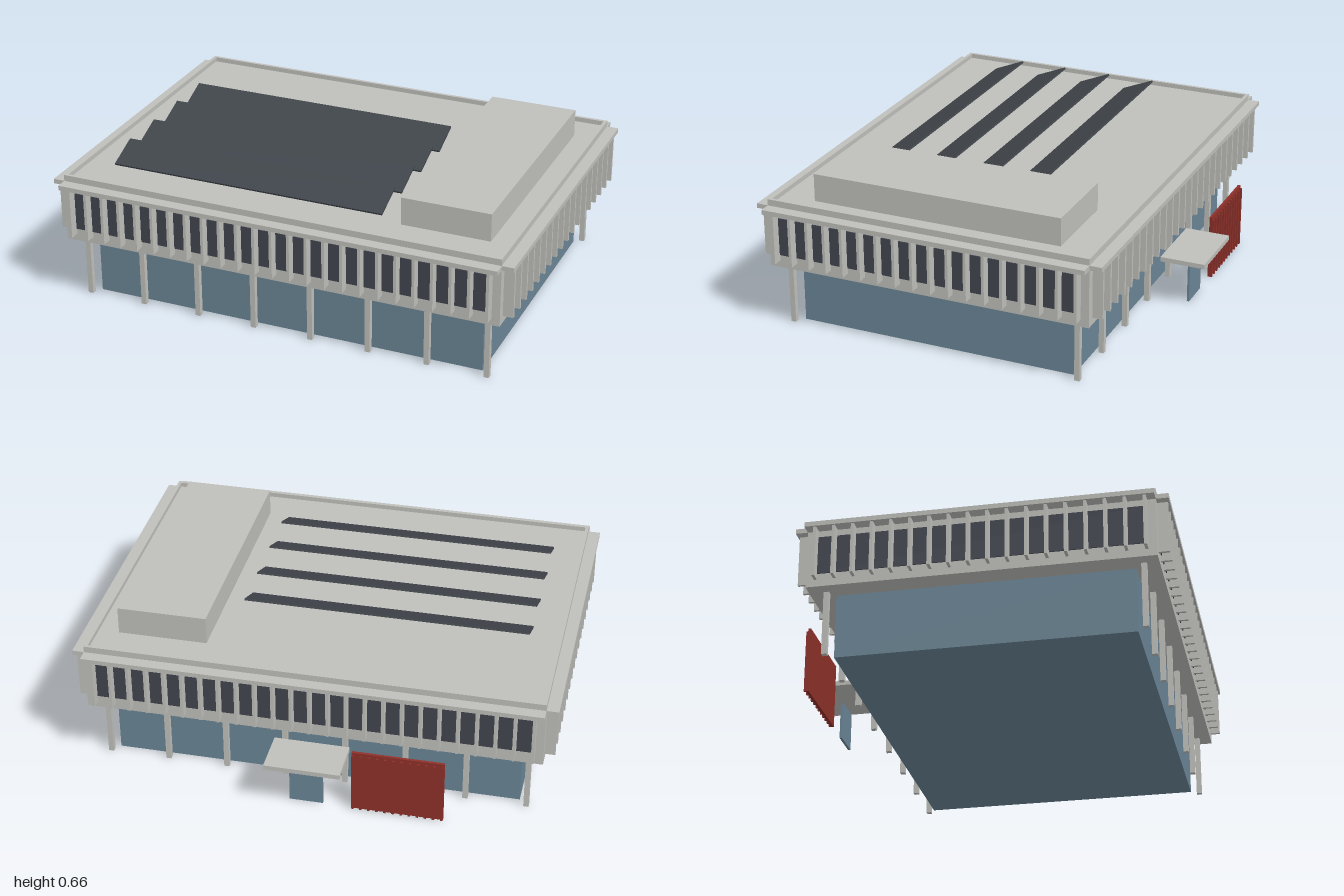
import * as THREE from 'three';

const paint = (name, color) => {
  const m = new THREE.MeshStandardMaterial({ color });
  m.name = name;
  return m;
};

export function createModel() {
  const concrete = paint('concrete', 0xbfbfbb);
  const glass = paint('blue glass', 0x6b8596);
  const windowDark = paint('dark window', 0x41454e);
  const skylightDark = paint('skylight', 0x40454b);
  const red = paint('red screen', 0x8e3029);

  const model = new THREE.Group();
  model.name = 'pavilionBuilding';

  // box given by its limits on each axis
  const box = (name, mat, [x0, x1], [y0, y1], [z0, z1], parent = model) => {
    const mesh = new THREE.Mesh(new THREE.BoxGeometry(x1 - x0, y1 - y0, z1 - z0), mat);
    mesh.position.set((x0 + x1) / 2, (y0 + y1) / 2, (z0 + z1) / 2);
    mesh.name = name;
    parent.add(mesh);
    return mesh;
  };
  const group = (name) => {
    const g = new THREE.Group();
    g.name = name;
    model.add(g);
    return g;
  };

  // main volumes
  const X = 0.95, Z0 = -0.63, Z1 = 0.765, ROOF = 0.542;
  box('groundFloorGlass', glass, [-0.855, 0.855], [0, 0.272], [-0.53, 0.67]);
  box('upperFloor', concrete, [-X, X], [0.27, ROOF], [Z0, Z1]);
  box('roofPlantRoom', concrete, [0.475, 0.85], [ROOF, 0.66], [-0.47, 0.605]);

  // low parapet around the roof
  const parapet = group('parapet'), t = 0.014;
  for (const [a, b] of [[Z0, Z0 + t], [Z1 - t, Z1]]) box('parapetLong', concrete, [-X, X], [ROOF, 0.562], [a, b], parapet);
  for (const [a, b] of [[-X, -X + t], [X - t, X]]) box('parapetShort', concrete, [a, b], [ROOF, 0.562], [Z0 + t, Z1 - t], parapet);

  // columns along the front and back
  const columns = group('columns');
  for (const z of [-0.56, 0.705]) {
    for (let i = 0; i < 8; i++) {
      const x = -0.886 + i * 0.2531;
      box('column', concrete, [x - 0.011, x + 0.011], [0, 0.27], [z - 0.011, z + 0.011], columns);
    }
  }

  // one facade: window strip, fins and cornice, built facing +z then turned
  const facade = (name, half, bays, span, angle, x, z) => {
    const g = group(name);
    box('windowStrip', windowDark, [-span / 2, span / 2], [0.325, 0.487], [-0.004, 0.004], g);
    for (let i = 0; i <= bays; i++) {
      const u = -span / 2 + (span * i) / bays;
      box('fin', concrete, [u - 0.006, u + 0.006], [0.3, 0.517], [-0.001, 0.043], g);
    }
    box('cornice', concrete, [-half, half], [0.515, 0.535], [-0.001, 0.05], g);
    g.rotation.y = angle;
    g.position.set(x, 0, z);
  };
  const mid = (Z0 + Z1) / 2, halfZ = (Z1 - Z0) / 2;
  facade('frontFacade', X, 24, 1.82, 0, 0, Z1);
  facade('backFacade', X, 24, 1.82, Math.PI, 0, Z0);
  facade('leftFacade', halfZ, 17, 1.315, Math.PI / 2, X, mid);
  facade('rightFacade', halfZ, 17, 1.315, -Math.PI / 2, -X, mid);

  // tilted roof panels, low at the front and high at the back
  const skylights = group('skylights');
  for (const z of [-0.143, 0.07, 0.287, 0.5]) {
    const panel = box('skylight', skylightDark, [-0.82, 0.38], [-0.004, 0.004], [-0.075, 0.075], skylights);
    panel.position.set(-0.22, 0.578, z);
    panel.rotation.x = 0.39;
  }

  // back entrance
  box('entranceCanopy', concrete, [-0.16, 0.155], [0.205, 0.225], [-0.818, -0.625]);
  box('entranceDoor', glass, [-0.07, 0.07], [0, 0.165], [-0.727, -0.717]);

  // ribbed red screen beside the entrance
  const screen = group('ribbedScreen');
  box('screenPanel', red, [-0.57, -0.19], [0, 0.28], [-0.73, -0.718], screen);
  for (let i = 0; i < 12; i++) {
    const x = -0.564 + i * 0.0335;
    box('screenRib', red, [x - 0.005, x + 0.005], [0, 0.268], [-0.738, -0.729], screen);
  }
  return model;
}
